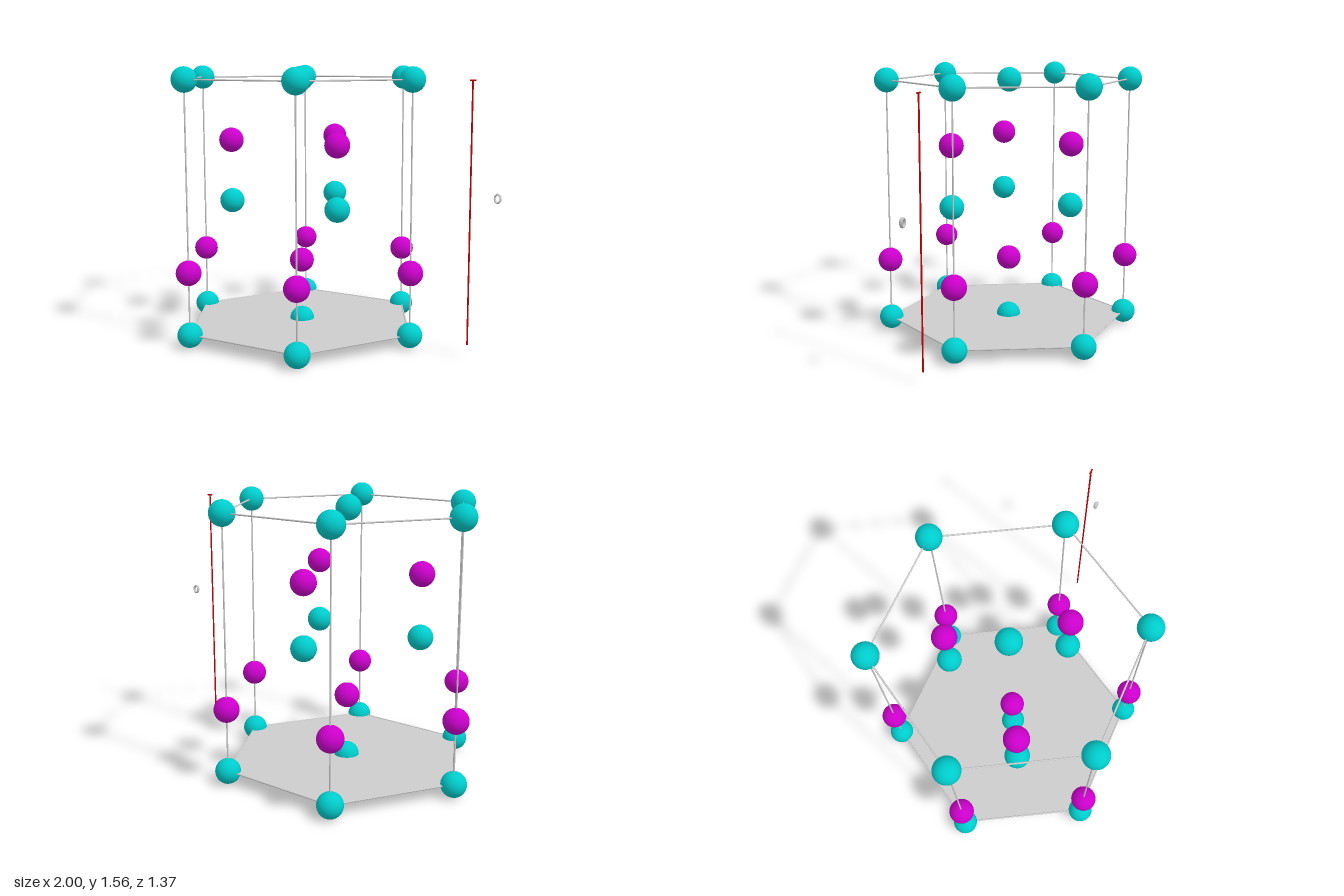
import * as THREE from 'three';

export function createModel() {
  const model = new THREE.Group();
  const mat = (name, color, side = THREE.FrontSide) => {
    const m = new THREE.MeshStandardMaterial({ color, side });
    m.name = name;
    return m;
  };
  const teal = mat('teal', 0x00cccc);
  const magenta = mat('magenta', 0xcc00cc);
  const grey = mat('light grey', 0xcccccc, THREE.DoubleSide);
  const red = mat('red', 0xcc0000);

  const CX = -0.223, A = 0.707, BASE = 0.071, C = 1.414;
  const level = (quarter) => BASE + (C * quarter) / 4;

  const add = (name, geometry, material, x, y, z) => {
    const mesh = new THREE.Mesh(geometry, material);
    mesh.name = name;
    mesh.position.set(x, y, z);
    model.add(mesh);
    return mesh;
  };

  // Atoms: full hexagons on the outer layers, triangles between them
  const corners = Array.from({ length: 6 }, (_, i) => {
    const t = (i * Math.PI) / 3;
    return [CX + A * Math.cos(t), A * Math.sin(t)];
  });
  const hexagon = [...corners, [CX, 0]];
  const triangle = [[CX - A / 2, 0.196], [CX + A / 2, 0.196], [CX, -0.387]];
  const ball = new THREE.SphereGeometry(0.0705, 32, 20);
  const layers = [
    [0, hexagon, teal], [1, hexagon, magenta],
    [2, triangle, teal], [3, triangle, magenta], [4, hexagon, teal],
  ];
  for (const [quarter, points, material] of layers) {
    for (const [x, z] of points) add(`${material.name} atom`, ball, material, x, level(quarter), z);
  }

  // Thin rods framing the hexagonal prism
  const up = new THREE.Vector3(0, 1, 0);
  const rod = (name, a, b, material) => {
    const d = new THREE.Vector3().subVectors(b, a);
    const mid = new THREE.Vector3().addVectors(a, b).multiplyScalar(0.5);
    const mesh = add(name, new THREE.CylinderGeometry(0.0045, 0.0045, d.length(), 12), material, mid.x, mid.y, mid.z);
    mesh.quaternion.setFromUnitVectors(up, d.normalize());
  };
  const at = ([x, z], quarter) => new THREE.Vector3(x, level(quarter), z);
  corners.forEach((p, i) => {
    const q = corners[(i + 1) % 6];
    rod('verticalEdge', at(p, 0), at(p, 4), grey);
    rod('topEdge', at(p, 4), at(q, 4), grey);
    rod('bottomEdge', at(p, 0), at(q, 0), grey);
  });

  // Hexagonal base plane
  add('basePlate', new THREE.CircleGeometry(A, 6), grey, CX, BASE, 0).rotation.x = -Math.PI / 2;

  // Height gauge with a short cap, and a plain ring marker beside it
  rod('heightGauge', at([0.826, 0], 0), at([0.826, 0], 4), red);
  rod('gaugeCap', at([0.81, 0], 4), at([0.842, 0], 4), red);
  add('gaugeMarker', new THREE.TorusGeometry(0.02, 0.005, 8, 24), grey, 0.98, 0.88, 0.01)
    .scale.set(0.8, 1.1, 2);

  return model;
}
